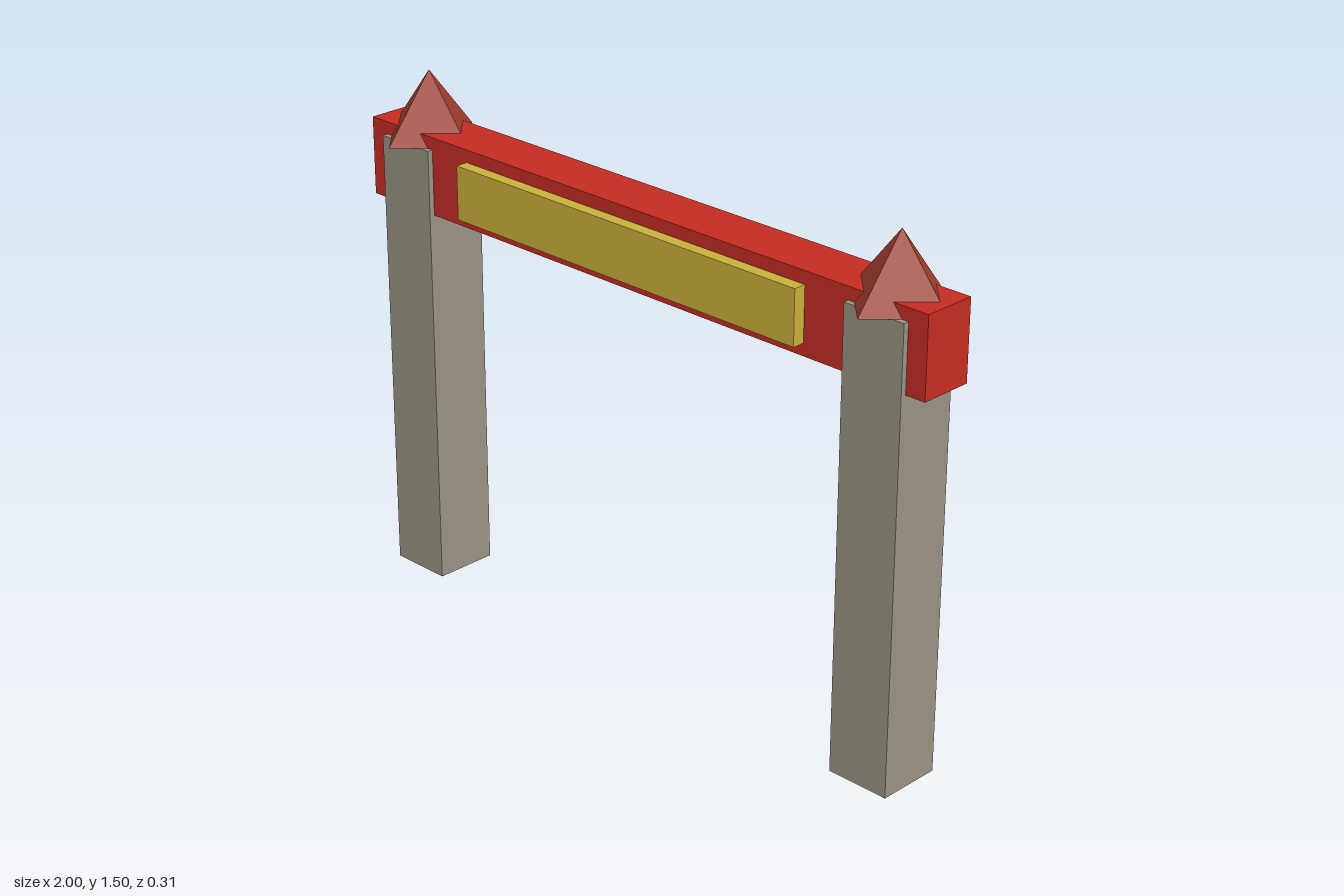
import * as THREE from 'three';

export function createModel() {
  const model = new THREE.Group();
  model.name = 'gateway';

  const material = (name, color) => {
    const m = new THREE.MeshStandardMaterial({ color });
    m.name = name;
    return m;
  };
  const stone = material('stone grey', 0x9a9284);
  const red = material('beam red', 0xc42c22);
  const gold = material('sign gold', 0xc9b03b);
  const roof = material('cap brown red', 0xa03e2e);
  roof.flatShading = true;

  const add = (name, geometry, mat, x, y, z) => {
    const mesh = new THREE.Mesh(geometry, mat);
    mesh.name = name;
    mesh.position.set(x, y, z);
    model.add(mesh);
  };

  // Posts with four-sided pointed caps, corners facing front and sides
  const postHeight = 1.31;
  const capHeight = 0.19;
  for (const [side, x] of [['left', 0.846], ['right', -0.846]]) {
    add(side + 'Post', new THREE.BoxGeometry(0.188, postHeight, 0.188), stone, x, postHeight / 2, 0);
    add(side + 'Cap', new THREE.ConeGeometry(0.153, capHeight, 4), roof, x, postHeight + capHeight / 2, 0);
  }

  // Crossbeam running through both posts
  add('crossbeam', new THREE.BoxGeometry(2, 0.226, 0.156), red, 0, 1.233, 0);

  // Blank sign board on the front of the beam
  add('signBoard', new THREE.BoxGeometry(1.225, 0.155, 0.038), gold, 0, 1.232, 0.095);

  return model;
}
